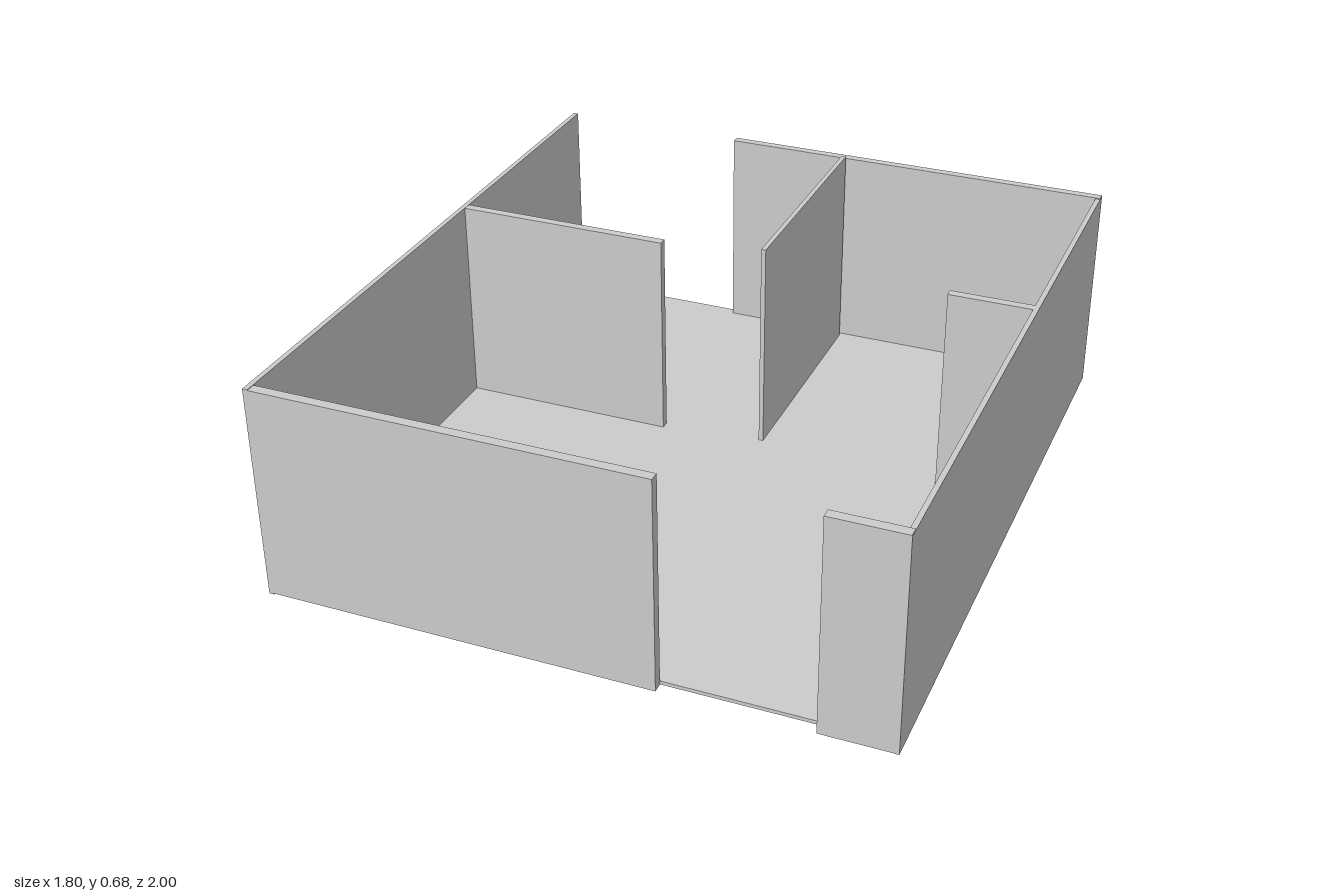
import * as THREE from 'three';

export function createModel() {
  const house = new THREE.Group();
  house.name = 'roomShell';
  const material = new THREE.MeshStandardMaterial({ color: 0xcccccc, flatShading: true });

  // Box given by its extents along each axis
  function slab(name, [x0, x1], [y0, y1], [z0, z1]) {
    const mesh = new THREE.Mesh(new THREE.BoxGeometry(x1 - x0, y1 - y0, z1 - z0), material);
    mesh.position.set((x0 + x1) / 2, (y0 + y1) / 2, (z0 + z1) / 2);
    mesh.name = name;
    house.add(mesh);
  }

  const wallY = [0.017, 0.664];

  slab('floor', [-0.895, 0.895], [0.019, 0.03], [-0.998, 0.968]);

  // Long outer walls
  slab('leftWall', [0.885, 0.9], wallY, [-1, 1]);
  slab('rightWall', [-0.9, -0.885], wallY, [-1, 1]);

  // Front wall, split by the doorway
  slab('frontWallWide', [-0.899, 0.25], [0.02, 0.662], [0.97, 1]);
  slab('frontWallNarrow', [0.685, 0.899], [0.018, 0.666], [0.97, 1]);

  // Back wall, open at one end
  slab('backWall', [-0.31, 0.899], [0.016, 0.667], [-1, -0.974]);

  // Cross partitions with a wide opening between them
  slab('crossPartitionWide', [-0.887, -0.235], [0.017, 0.663], [-0.217, -0.19]);
  slab('crossPartitionNarrow', [0.64, 0.887], [0.017, 0.663], [-0.217, -0.19]);

  // Taller partition dividing the back rooms
  slab('dividingPartition', [0.066, 0.08], [0, 0.68], [-0.96, -0.23]);

  return house;
}
